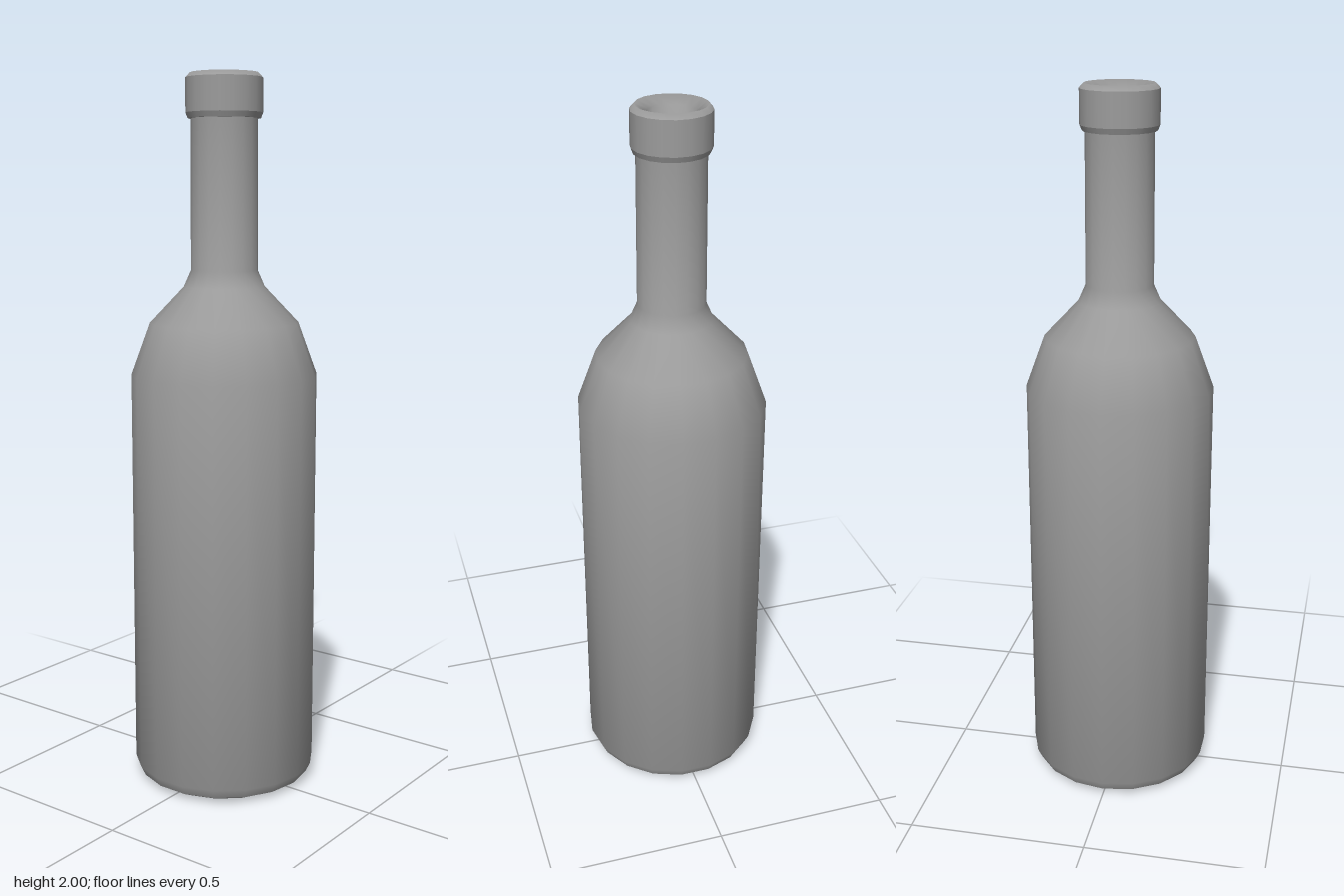
import * as THREE from 'three';

const SIDES = 18;

export function createModel() {
  const group = new THREE.Group();
  const material = new THREE.MeshStandardMaterial({ color: 0x9c9c9c });

  // Turns a profile of [radius, height] points. Rings from index nineFrom up to
  // nineTo have their odd corners drawn in to make a nine-sided outline.
  function turned(name, profile, nineFrom = 0, nineTo = 0) {
    const points = profile.map(([r, y]) => new THREE.Vector2(r, y));
    const geometry = new THREE.LatheGeometry(points, SIDES, -Math.PI / 2);
    const { position, normal } = geometry.attributes;
    const inset = Math.cos((2 * Math.PI) / SIDES);

    // Each ring's normal is the even blend of the bands above and below it
    const bands = points.slice(1).map((p, i) => {
      const d = p.clone().sub(points[i]).normalize();
      return new THREE.Vector2(d.y, -d.x);
    });
    const blends = points.map((p, j) =>
      (bands[j - 1] ?? bands[j]).clone().add(bands[j] ?? bands[j - 1]).normalize());

    for (let k = 0; k < position.count; k++) {
      const side = Math.floor(k / points.length);
      const ring = k % points.length;
      const angle = -Math.PI / 2 + (side / SIDES) * 2 * Math.PI;
      const n = blends[ring];
      normal.setXYZ(k, n.x * Math.sin(angle), n.y, n.x * Math.cos(angle));
      if (side % 2 === 1 && ring >= nineFrom && ring < nineTo) {
        position.setX(k, position.getX(k) * inset);
        position.setZ(k, position.getZ(k) * inset);
      }
    }
    const mesh = new THREE.Mesh(geometry, material);
    mesh.name = name;
    group.add(mesh);
  }

  // Hollow underside and the bevel it stands on
  turned('basePunt', [[0, 0.06], [0.11, 0.045], [0.214, 0]]);
  turned('baseBevel', [[0.214, 0], [0.248, 0.018]]);

  // Body, shoulder and neck in one smooth skin
  turned('body', [
    [0.248, 0.018], [0.261, 0.045], [0.261, 1.18], [0.208, 1.325],
    [0.113, 1.425], [0.093, 1.47], [0.092, 1.88],
  ]);

  // Collar around the mouth
  turned('collarUnderside', [[0.092, 1.88], [0.1, 1.88]]);
  turned('collarBevel', [[0.1, 1.88], [0.106, 1.895]]);
  turned('collar', [[0.106, 1.895], [0.106, 1.987]]);

  // Rounded lip running down into the nine-sided bore
  turned('lipAndBore', [[0.106, 1.987], [0.094, 2], [0.066, 1.98], [0.066, 1.45]], 2, 4);

  // Inside of the bottle
  turned('innerWall', [[0.066, 1.45], [0.19, 1.31], [0.24, 1.17], [0.24, 0.12]], 0, 1);
  turned('innerFloor', [[0.24, 0.12], [0, 0.12]]);

  return group;
}
